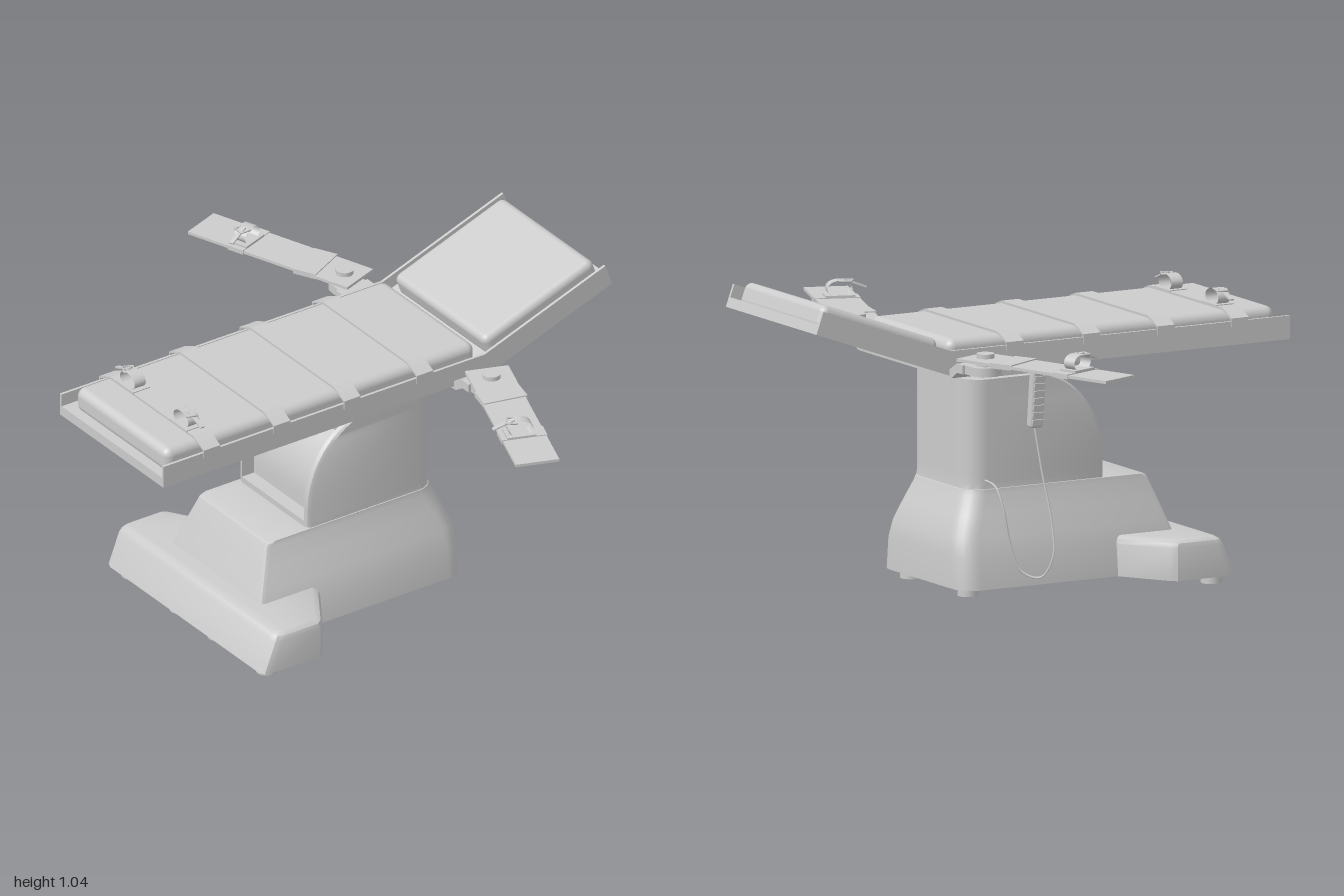
import * as THREE from 'three';
import { toCreasedNormals } from 'three/addons/utils/BufferGeometryUtils.js';
import { RoundedBoxGeometry } from 'three/addons/geometries/RoundedBoxGeometry.js';

const grey = new THREE.MeshStandardMaterial({ color: 0xcccccc, side: THREE.DoubleSide });
const TILT = 0.347;

function add(parent, name, geo, x = 0, y = 0, z = 0) {
  const m = new THREE.Mesh(geo, grey);
  m.name = name;
  m.position.set(x, y, z);
  parent.add(m);
  return m;
}
const box = (w, h, d) => new THREE.BoxGeometry(w, h, d);
const cyl = (r, h) => new THREE.CylinderGeometry(r, r, h, 24);

// Extrude an x/y outline along z, starting at z = 0
function extrude(points, depth) {
  const shape = new THREE.Shape(points.map(p => new THREE.Vector2(...p)));
  return new THREE.ExtrudeGeometry(shape, { depth, bevelEnabled: false });
}

// Add the mirrored half to a right-hand row of points
const mirrored = half => [...half, ...half.slice().reverse().map(([x, y]) => [-x, y])];

// Skin stacked plan outlines ({ y, pts: [x, z] }, counter-clockwise from above) and cap both ends
function loft(rings) {
  const n = rings[0].pts.length, pos = [], idx = [];
  rings.forEach(r => r.pts.forEach(([x, z]) => pos.push(x, r.y, z)));
  for (let j = 0; j < rings.length - 1; j++) {
    for (let i = 0; i < n; i++) {
      const a = j * n + i, b = j * n + (i + 1) % n;
      idx.push(a, b, b + n, a, b + n, a + n);
    }
  }
  const cap = (r, base, up) => {
    const contour = r.pts.map(([x, z]) => new THREE.Vector2(x, -z));
    for (const [a, b, c] of THREE.ShapeUtils.triangulateShape(contour, [])) {
      idx.push(base + a, base + (up ? b : c), base + (up ? c : b));
    }
  };
  cap(rings[0], 0, false);
  cap(rings[rings.length - 1], (rings.length - 1) * n, true);
  const g = new THREE.BufferGeometry();
  g.setAttribute('position', new THREE.Float32BufferAttribute(pos, 3));
  g.setIndex(idx);
  return toCreasedNormals(g, 0.6);
}

// Pedestal outline: front at zf, recessed panel at zi, rounded rear corners at zb
function bodyRing(y, w, zf, zb, zi = zf) {
  const half = [[w - 0.02, zi], [w - 0.02, zf], [w - 0.006, zf - 0.005], [w, zf - 0.018]];
  const r = 0.07;
  for (let i = 0; i <= 6; i++) {
    const a = (i / 6) * Math.PI / 2;
    half.push([w - r + r * Math.cos(a), zb + r - r * Math.sin(a)]);
  }
  return { y, pts: mirrored(half) };
}

function pedestalGeometry() {
  const rings = [
    [0.03, 0.28, 0.53, -0.33], [0.14, 0.268, 0.5, -0.33], [0.2, 0.25, 0.478, -0.323],
    [0.27, 0.228, 0.453, -0.296], [0.335, 0.206, 0.43, -0.269], [0.347, 0.204, 0.424, -0.265],
    [0.353, 0.203, 0.41, -0.263], [0.354, 0.2, 0.26, -0.262], [0.375, 0.2, 0.26, -0.26],
  ].map(r => bodyRing(...r));
  const curve = (y, rz, ry) => rz * Math.sqrt(Math.max(0, 1 - (Math.max(0, y - 0.42) / ry) ** 2));
  for (let i = 0; i <= 20; i++) {
    const y = 0.375 + 0.35 * Math.sin((i / 20) * Math.PI / 2);
    rings.push(bodyRing(y, 0.2, curve(y, 0.26, 0.305), -0.26, curve(y, 0.21, 0.255)));
  }
  return loft(rings);
}

// Wide front foot with a sloping toe and softened top edge
function footGeometry() {
  const ring = (y, zf, i) => ({
    y, pts: mirrored([[0.43 - i, zf - i], [0.452 - i, zf - 0.01 - i], [0.46 - i, zf - 0.035 - i],
      [0.46 - i, 0.39 + i], [0.445 - i, 0.37 + i], [0.28 - i, 0.265 + i]]),
  });
  return loft([ring(0.03, 0.62, 0), ring(0.14, 0.577, 0), ring(0.156, 0.572, 0.005), ring(0.165, 0.57, 0.018)]);
}

// Shallow tray section, open at its ends
const tray = length => extrude(mirrored([[0.3, 0], [0.3, 0.08], [0.29, 0.08], [0.29, 0.035]]), length);

// Buckled restraint loop; the tongue points along +x
function cuff(name) {
  const g = new THREE.Group();
  g.name = name;
  const loop = add(g, 'cuffLoop', new THREE.CylinderGeometry(0.043, 0.043, 0.045, 24, 1, true), 0, 0.028, 0);
  loop.rotation.x = Math.PI / 2;
  loop.scale.set(1, 1, 0.65);
  add(g, 'cuffPad', box(0.1, 0.008, 0.068), 0, 0.004, 0);
  const frame = add(g, 'buckle', new THREE.TorusGeometry(0.026, 0.004, 6, 4), 0.025, 0.052, 0);
  frame.rotation.set(Math.PI / 2, -0.4, Math.PI / 4, 'YXZ');
  const tongue = add(g, 'tongue', box(0.08, 0.005, 0.016), 0.055, 0.043, 0);
  tongue.rotation.z = -0.35;
  return g;
}

function armBoard(s) {
  const g = new THREE.Group();
  g.name = s > 0 ? 'leftArmBoard' : 'rightArmBoard';
  add(g, 'board', box(0.648, 0.01, 0.15), 0.261, 0, 0);
  add(g, 'pivotPin', cyl(0.03, 0.07), 0, -0.015, 0);
  const band = add(g, 'band', box(0.085, 0.018, 0.156), 0.12, 0, 0);
  band.rotation.y = 0.12;
  add(g, 'cuffBand', box(0.062, 0.016, 0.156), 0.39, 0, 0);
  const c = cuff('wristCuff');
  c.position.set(0.39, 0.007, 0.01 * s);
  c.rotation.y = -s * Math.PI / 2;
  g.add(c);
  g.position.set(0.425 * s, 0.842, -0.33);
  g.rotation.y = s > 0 ? -TILT : Math.PI + TILT;
  return g;
}

export function createModel() {
  const model = new THREE.Group();
  model.name = 'treatmentTable';

  // Base
  add(model, 'pedestal', pedestalGeometry());
  add(model, 'frontFoot', footGeometry());
  for (const s of [-1, 1]) {
    for (const [x, z] of [[0.39, 0.56], [0.11, 0.56], [0.19, -0.26]]) {
      add(model, 'levellingFoot', cyl(0.036, 0.035), s * x, 0.0175, z);
    }
    add(model, 'liftColumn', new RoundedBoxGeometry(0.118, 0.15, 0.3, 3, 0.02), s * 0.11, 0.712, -0.05);
  }

  // Flat section and raised head section
  add(model, 'tray', tray(1.305), 0, 0.775, -0.39);
  add(model, 'cushion', new RoundedBoxGeometry(0.53, 0.09, 1.26, 4, 0.03), 0, 0.84, 0.25);
  const head = new THREE.Group();
  head.name = 'headSection';
  head.position.set(0, 0.772, -0.395);
  head.rotation.x = TILT;
  add(head, 'headTray', tray(0.545), 0, 0, -0.545);
  add(head, 'headCushion', new RoundedBoxGeometry(0.53, 0.085, 0.475, 4, 0.025), 0, 0.06, -0.29);
  model.add(head);

  // Straps over the cushion
  const strap = mirrored([[0.304, 0.835], [0.304, 0.866], [0.27, 0.882], [0.24, 0.893]]);
  const inner = mirrored([[0.298, 0.835], [0.298, 0.862], [0.267, 0.877], [0.238, 0.885]]).reverse();
  for (const z of [-0.145, 0.15, 0.435, 0.72]) {
    add(model, 'strap', extrude([...strap, ...inner], 0.066), 0, 0, z - 0.033);
  }
  for (const s of [-1, 1]) {
    const c = cuff(s > 0 ? 'leftAnkleCuff' : 'rightAnkleCuff');
    c.position.set(s * 0.155, 0.888, 0.72);
    c.rotation.y = s > 0 ? 0 : Math.PI;
    model.add(c);
  }

  // Arm supports
  const bar = mirrored([[0.29, 0.763], [0.31, 0.765], [0.35, 0.79], [0.385, 0.79], [0.385, 0.82], [0.345, 0.82], [0.3, 0.795]]);
  add(model, 'armCrossbar', extrude(bar, 0.13), 0, 0, -0.395);
  for (const s of [-1, 1]) {
    add(model, 'armBracket', box(0.06, 0.03, 0.11), s * 0.395, 0.805, -0.33);
    add(model, 'bracketEnd', cyl(0.055, 0.03), s * 0.425, 0.805, -0.33);
    model.add(armBoard(s));
  }

  // Hand control with a ribbed grip, hung on the tray edge
  const control = new THREE.Group();
  control.name = 'handControl';
  control.position.set(-0.322, 0.67, -0.075);
  control.rotation.z = 0.1;
  add(control, 'grip', new RoundedBoxGeometry(0.034, 0.2, 0.05, 3, 0.01));
  for (let i = 0; i < 7; i++) add(control, 'rib', box(0.01, 0.012, 0.04), -0.017, -0.075 + i * 0.025, 0);
  add(control, 'hook', box(0.04, 0.04, 0.04), 0.005, 0.1, 0);
  model.add(control);

  const path = new THREE.CatmullRomCurve3([
    [-0.31, 0.575, -0.075], [-0.335, 0.42, -0.06], [-0.375, 0.25, -0.045], [-0.39, 0.14, -0.05],
    [-0.36, 0.07, -0.08], [-0.315, 0.09, -0.13], [-0.297, 0.18, -0.16], [-0.285, 0.3, -0.18],
    [-0.25, 0.37, -0.19], [-0.19, 0.385, -0.2],
  ].map(p => new THREE.Vector3(...p)));
  add(model, 'cable', new THREE.TubeGeometry(path, 60, 0.004, 6));

  return model;
}
